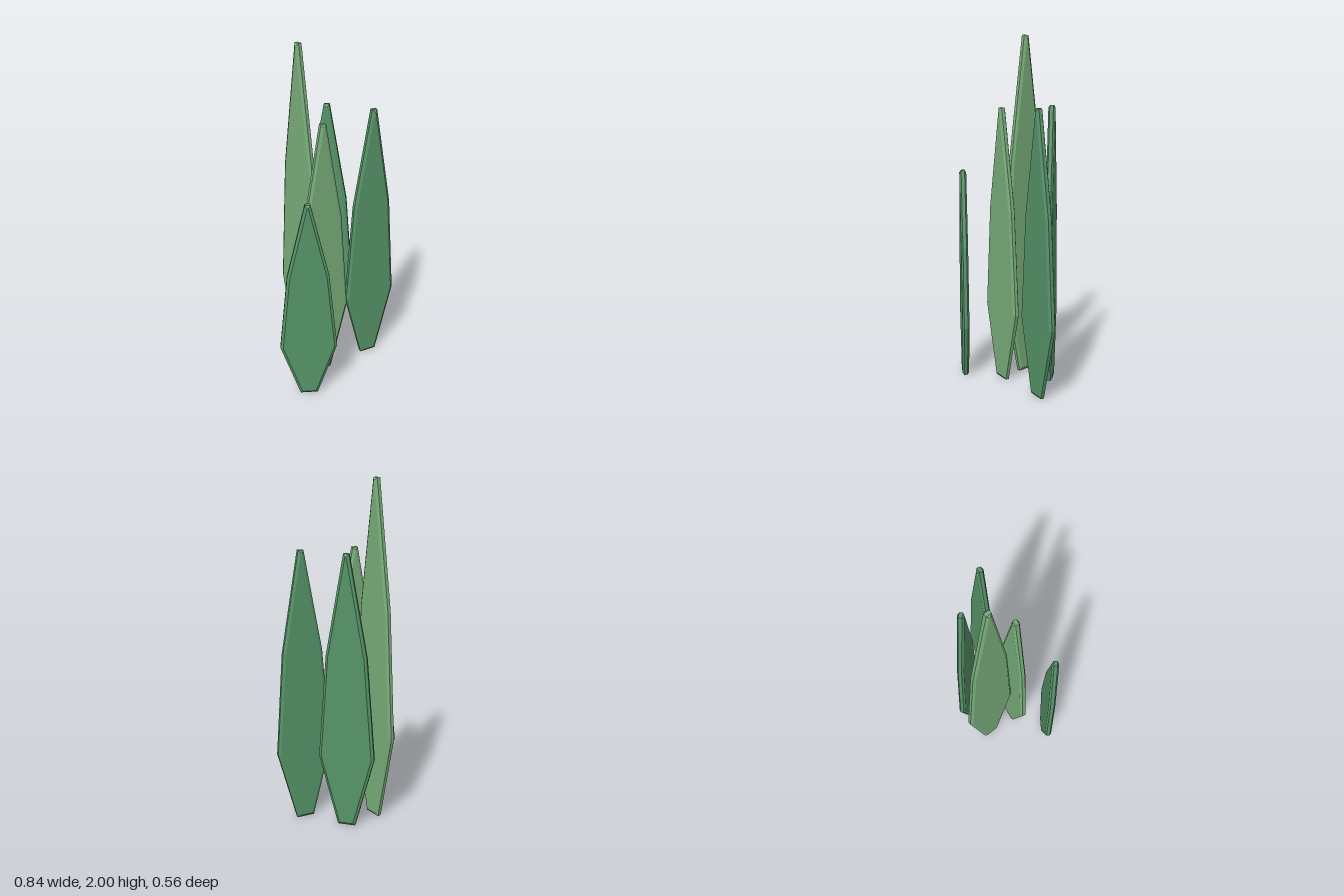
import * as THREE from 'three';

const BEVEL = 0.015;   // edge chamfer across the leaf
const CHAMFER = 0.01;  // edge chamfer through the thickness
const DEPTH = 0.02;    // flat part of the thickness

// Right half of the leaf outline: [half width, fraction of height]
const PROFILE = [[0.04, 0], [0.148, 0.262], [0.103, 0.643], [0.003, 1]];

// Upright blade, chamfered all round, standing on y = 0
function leafGeometry(height) {
  const y = (t) => BEVEL + t * (height - 2 * BEVEL);
  const right = PROFILE.map(([w, t]) => new THREE.Vector2(w, y(t)));
  const left = PROFILE.map(([w, t]) => new THREE.Vector2(-w, y(t))).reverse();
  const geometry = new THREE.ExtrudeGeometry(new THREE.Shape([...right, ...left]), {
    depth: DEPTH,
    bevelEnabled: true,
    bevelSize: BEVEL,
    bevelThickness: CHAMFER,
    bevelSegments: 1,
  });
  geometry.translate(0, 0, -DEPTH / 2);
  return geometry;
}

export function createModel() {
  const group = new THREE.Group();
  group.name = 'leafCluster';

  const dark = new THREE.MeshStandardMaterial({ color: 0x569468, flatShading: true });
  const light = new THREE.MeshStandardMaterial({ color: 0x78ad7a, flatShading: true });

  // Each leaf: name, x, z, height, turn in degrees, material
  const leaves = [
    ['leftmostLeaf', -0.293, 0.169, 1.235, -40, dark],
    ['frontLeaf', -0.076, 0.066, 1.6, -15, light],
    ['tallBackLeaf', -0.07, -0.12, 2, 86.5, light],
    ['backLeaf', 0.14, -0.114, 1.615, -56, dark],
    ['rightmostLeaf', 0.261, 0.13, 1.615, -17, dark],
  ];

  for (const [name, x, z, height, turn, material] of leaves) {
    const leaf = new THREE.Mesh(leafGeometry(height), material);
    leaf.name = name;
    leaf.position.set(x, 0, z);
    leaf.rotation.y = THREE.MathUtils.degToRad(turn);
    group.add(leaf);
  }
  return group;
}
